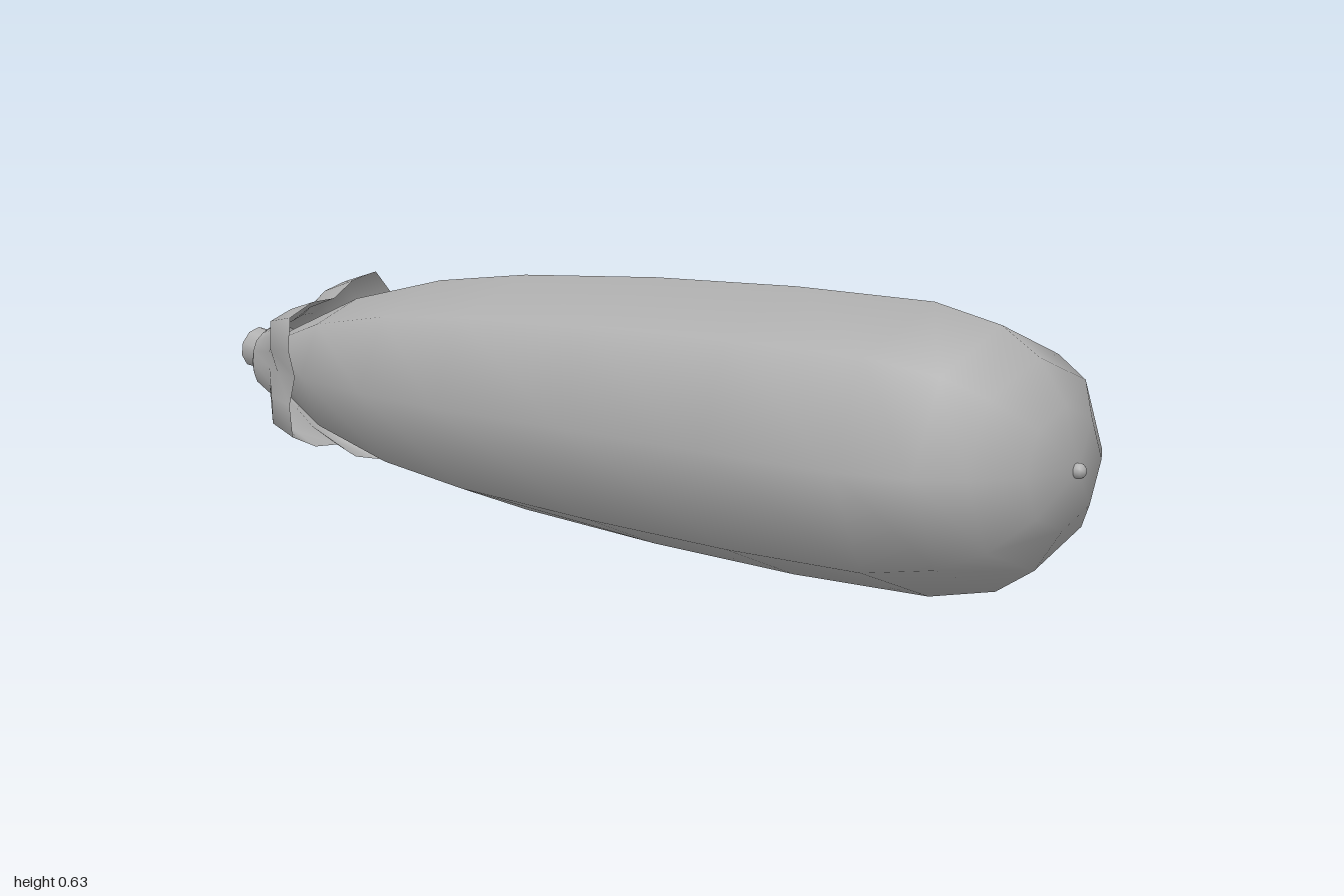
import * as THREE from 'three';
import { mergeVertices } from 'three/addons/utils/BufferGeometryUtils.js';

// Skin a list of closed rings running along +z; point(i, angle) gives each vertex
function loft(rings, sides, point) {
  const pos = [], idx = [];
  for (let i = 0; i < rings; i++) {
    for (let j = 0; j < sides; j++) {
      pos.push(...point(i, (j / sides) * Math.PI * 2));
      if (i === rings - 1) continue;
      const k = (j + 1) % sides;
      const a = i * sides + j, b = i * sides + k, c = b + sides, d = a + sides;
      idx.push(a, b, c, a, c, d);
    }
  }
  let g = new THREE.BufferGeometry();
  g.setAttribute('position', new THREE.Float32BufferAttribute(pos, 3));
  g.setIndex(idx);
  g = mergeVertices(g, 1e-5);
  g.computeVertexNormals();
  return g;
}

export function createModel() {
  const model = new THREE.Group();
  model.name = 'vegetable';
  const grey = new THREE.MeshStandardMaterial({ color: 0xb0b0b0, side: THREE.DoubleSide });
  grey.name = 'grey';

  // The fruit lies diagonally: local z runs from stem to blossom end
  const fruit = new THREE.Group();
  fruit.name = 'fruit';
  fruit.rotation.y = 0.8465;
  fruit.position.y = 0.315;
  model.add(fruit);
  const add = (name, geometry) => {
    const mesh = new THREE.Mesh(geometry, grey);
    mesh.name = name;
    fruit.add(mesh);
    return mesh;
  };

  // Eight-sided body: [z, half width, half height, sideways offset]
  const body = [
    [-1.15, 0.08, 0.08, 0.01], [-0.9, 0.187, 0.18, 0.01], [-0.6, 0.27, 0.247, 0.015],
    [-0.31, 0.305, 0.281, 0.013], [0.1, 0.314, 0.304, 0.012], [0.5, 0.325, 0.313, 0.01],
    [0.85, 0.336, 0.307, 0.015], [1.01, 0.301, 0.272, 0.02], [1.1, 0.245, 0.215, 0.02],
    [1.16, 0.139, 0.125, 0.025], [1.195, 0, 0, 0.02],
  ];
  add('body', loft(body.length, 8, (i, a) => {
    const [z, w, h, off] = body[i];
    return [off + w * Math.cos(a), h * Math.sin(a), z];
  }));

  // Flared calyx with five lobes: [z, lobe radius, radius between lobes]
  const calyx = [
    [-1.207, 0.09, 0.085], [-1.105, 0.13, 0.115], [-1.02, 0.22, 0.16], [-0.912, 0.254, 0.195],
  ];
  add('calyx', loft(calyx.length, 20, (i, a) => {
    const [z, lobe, dip] = calyx[i];
    const r = dip + (lobe - dip) * (0.5 + 0.5 * Math.cos(5 * a));
    return [0.008 + r * Math.cos(a), r * Math.sin(a), z];
  }));
  const top = add('calyxTop', new THREE.CircleGeometry(0.088, 20));
  top.rotation.y = Math.PI;
  top.position.set(0.008, 0, -1.206);

  // Short stem, tipped slightly upward
  const stem = add('stem', new THREE.CylinderGeometry(0.046, 0.054, 0.13, 10));
  stem.rotation.x = Math.PI / 2 + 0.15;
  stem.position.set(0.011, 0.012, -1.23);

  // Blossom-end nub
  const nub = add('nub', new THREE.SphereGeometry(0.016, 10, 8));
  nub.position.set(0.02, 0, 1.196);

  return model;
}
